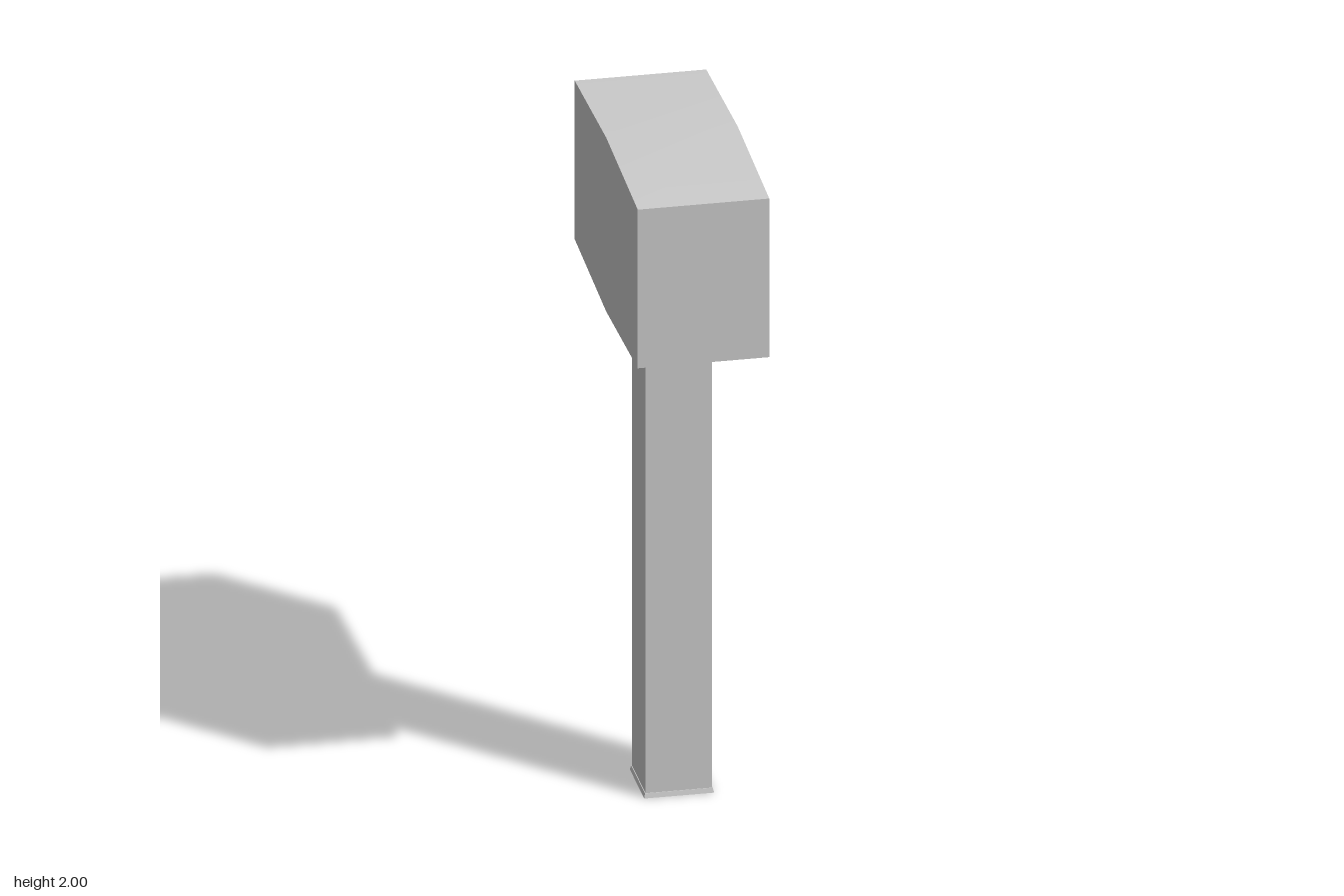
import * as THREE from 'three';
import { toCreasedNormals } from 'three/addons/utils/BufferGeometryUtils.js';

export function createModel() {
  const hammer = new THREE.Group();
  hammer.name = 'hammer';
  const material = new THREE.MeshStandardMaterial({ color: 0xcccccc });

  const add = (name, geometry, y) => {
    const mesh = new THREE.Mesh(geometry, material);
    mesh.name = name;
    mesh.position.y = y;
    hammer.add(mesh);
    return mesh;
  };

  // Head: hexagonal side profile with a shallow ridge above and below,
  // extruded across the width
  const width = 0.376;
  const profile = new THREE.Shape([
    [-0.442, 1.488], [0, 1.464], [0.442, 1.488],
    [0.442, 1.977], [0, 2], [-0.442, 1.977],
  ].map(([z, y]) => new THREE.Vector2(z, y)));
  const head = new THREE.ExtrudeGeometry(profile, { depth: width, bevelEnabled: false });
  head.translate(0, 0, -width / 2);
  head.rotateY(Math.PI / 2);
  add('head', toCreasedNormals(head, Math.PI / 6), 0);

  // Handle: square shaft running up into the head
  const bottom = 0.014, top = 1.48;
  add('handle', new THREE.BoxGeometry(0.19, top - bottom, 0.19), (top + bottom) / 2);

  // Butt: thin, slightly flared square plate
  const butt = new THREE.CylinderGeometry(0.097 * Math.SQRT2, 0.1 * Math.SQRT2, bottom, 4);
  butt.rotateY(Math.PI / 4);
  add('buttPlate', toCreasedNormals(butt, Math.PI / 6), bottom / 2);

  return hammer;
}
